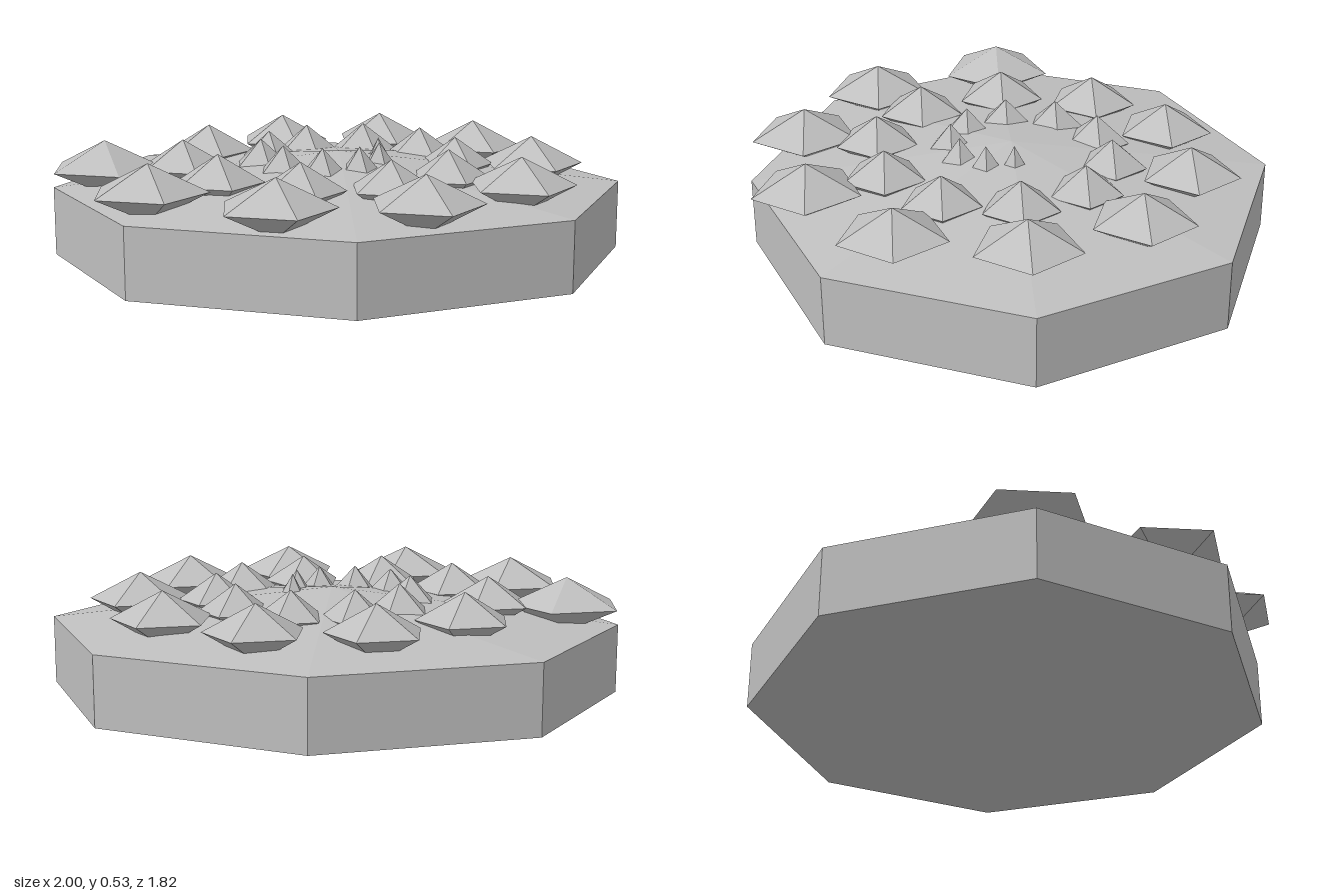
import * as THREE from 'three';

const stone = new THREE.MeshStandardMaterial({ color: 0xbfbfbf });
stone.name = 'stone grey';

// Faceted solid turned from [radius, y] points, with one corner on +x
function faceted(points, sides) {
  const profile = points.map(([r, y]) => new THREE.Vector2(r, y));
  const geometry = new THREE.LatheGeometry(profile, sides, Math.PI / 2).toNonIndexed();
  geometry.computeVertexNormals();
  return geometry;
}

export function createModel() {
  const model = new THREE.Group();
  model.name = 'studdedDisc';

  // Eight-sided disc with shallow points above and below
  const disc = new THREE.Mesh(
    faceted([[0, 0.005], [1, 0.127], [1, 0.367], [0, 0.488]], 8), stone);
  disc.scale.z = 0.907;
  disc.name = 'disc';
  model.add(disc);

  // Five-sided studs, growing as they spiral outwards
  const studs = new THREE.Group();
  studs.name = 'studSpiral';
  const studGeometry = faceted([[0, -0.096], [1, 0], [0, 0.096]], 5);
  for (let i = 0; i < 26; i++) {
    const angle = (i * Math.PI) / 5;
    const distance = 0.138 + 0.0272 * i;
    const radius = 0.039 * Math.sqrt(i + 2);
    const stud = new THREE.Mesh(studGeometry, stone);
    stud.name = `stud${i + 1}`;
    stud.position.set(distance * Math.cos(angle), 0.436, distance * Math.sin(angle));
    stud.scale.set(radius, 1, radius);
    studs.add(stud);
  }
  model.add(studs);
  return model;
}
